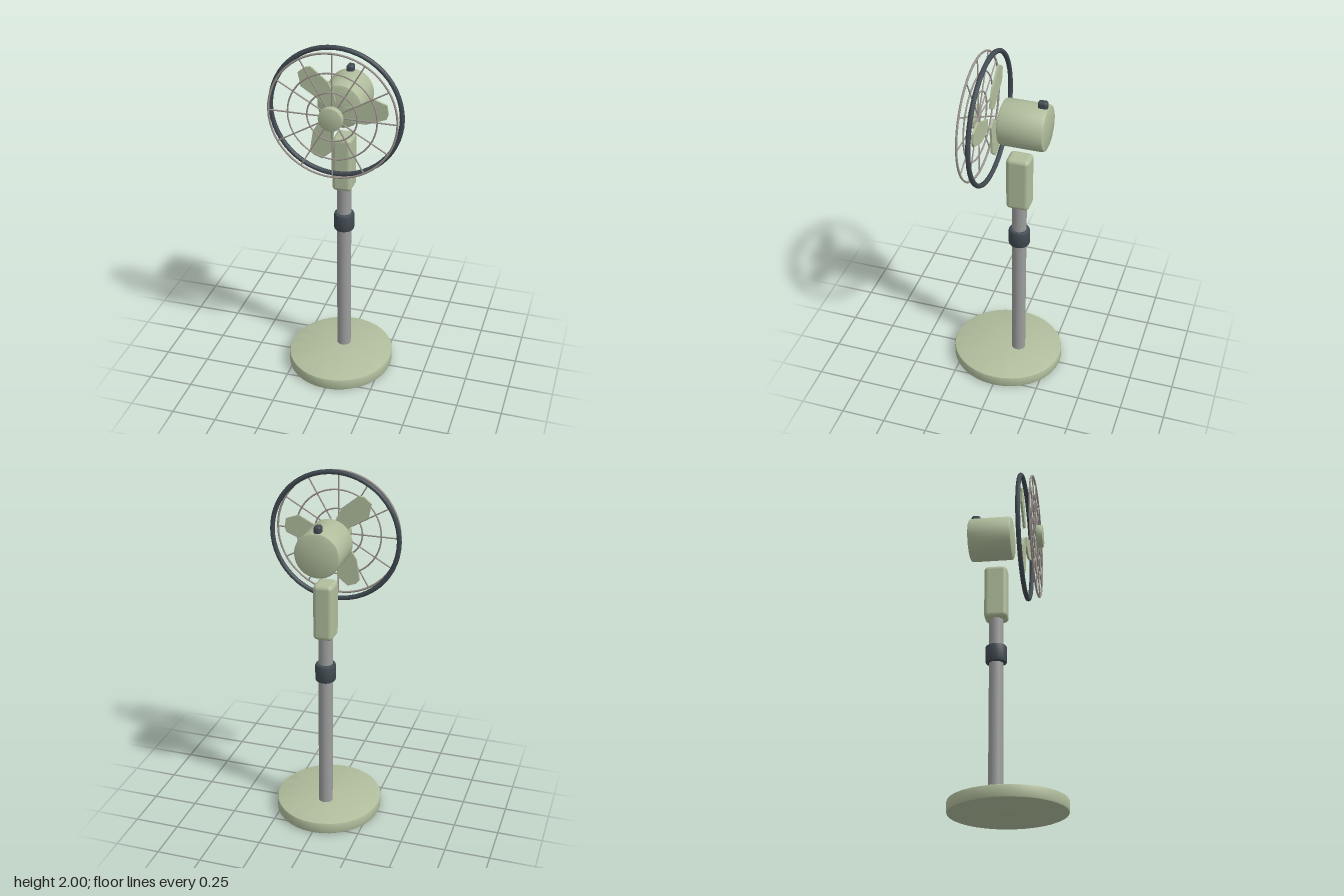
import * as THREE from 'three';
import { toCreasedNormals } from 'three/addons/utils/BufferGeometryUtils.js';
import { RoundedBoxGeometry } from 'three/addons/geometries/RoundedBoxGeometry.js';

const mat = (color) => new THREE.MeshStandardMaterial({ color });
const HEAD_Y = 1.63;   // height of the fan axis
const POST_Z = -0.065; // depth of the post axis

export function createModel() {
  const sage = mat(0xb0bd9c), dark = mat(0x414b52), steel = mat(0x9c9e9d), wire = mat(0x9d9590);
  const root = new THREE.Group();

  const add = (parent, name, geometry, material, x = 0, y = 0, z = 0) => {
    const mesh = new THREE.Mesh(geometry, material);
    mesh.name = name;
    mesh.position.set(x, y, z);
    parent.add(mesh);
    return mesh;
  };

  // Closed disc or drum with softened rims, centred on its own axis (y)
  const drum = (r, h, bevel, segments = 32) => {
    const k = bevel * 0.3, t = h / 2;
    const half = [[r - bevel, t], [r - k, t - k], [r, t - bevel]];
    const points = [[0, t], ...half, ...half.map(([a, b]) => [a, -b]).reverse(), [0, -t]];
    const profile = points.reverse().map(([a, b]) => new THREE.Vector2(a, b));
    return toCreasedNormals(new THREE.LatheGeometry(profile, segments), 0.7);
  };

  // Stand: oval base, post, height collar and neck
  add(root, 'base', drum(0.32, 0.07, 0.01, 36), sage, 0, 0.035, 0).scale.x = 0.935;
  add(root, 'post', new THREE.CylinderGeometry(0.04, 0.04, 1.07, 24), steel, 0, 0.595, POST_Z);
  add(root, 'heightCollar', drum(0.06, 0.104, 0.012, 20), dark, 0, 0.9, POST_Z).scale.x = 0.95;
  add(root, 'neck', new RoundedBoxGeometry(0.11, 0.32, 0.13, 3, 0.025), sage, 0, 1.27, POST_Z);

  const head = new THREE.Group();
  head.name = 'fanHead';
  head.position.y = HEAD_Y;
  root.add(head);

  // Motor housing and the knob on its top
  add(head, 'motorHousing', drum(0.125, 0.25, 0.016), sage, 0, 0, -0.095).rotation.x = Math.PI / 2;
  add(head, 'oscillationKnob', new RoundedBoxGeometry(0.04, 0.05, 0.052, 3, 0.014), dark, 0, 0.133, -0.186);

  // Three flat blades, outlined by angle (degrees) and radius
  const outline = [[-30, 0.06], [-24, 0.11], [-16, 0.17], [-1, 0.273], [5, 0.284], [15, 0.284],
    [26, 0.225], [25, 0.13], [30, 0.06]];
  const bladeShape = new THREE.Shape(outline.map(([deg, r]) => {
    const a = THREE.MathUtils.degToRad(deg);
    return new THREE.Vector2(r * Math.cos(a), r * Math.sin(a));
  }));
  const bladeGeometry = new THREE.ExtrudeGeometry(bladeShape, { depth: 0.012, bevelEnabled: false });
  for (let i = 0; i < 3; i++) {
    add(head, 'blade', bladeGeometry, sage, 0, 0, 0.092).rotation.z = i * Math.PI * 2 / 3;
  }

  // Heavy guard rim around the blades
  add(head, 'guardRim', new THREE.TorusGeometry(0.355, 0.0135, 8, 56), dark, 0, 0, 0.098);

  // Front grille: concentric rings, twelve spokes and a centre cap
  const grille = new THREE.Group();
  grille.name = 'frontGrille';
  grille.position.z = 0.162;
  head.add(grille);
  for (const r of [0.135, 0.24, 0.346]) {
    add(grille, 'grilleRing', new THREE.TorusGeometry(r, r > 0.3 ? 0.006 : 0.0045, 6, 56), wire);
  }
  const spokeGeometry = new THREE.CylinderGeometry(0.004, 0.004, 0.346, 6).translate(0, 0.173, 0);
  for (let i = 0; i < 12; i++) {
    add(grille, 'grilleSpoke', spokeGeometry, wire).rotation.z = i * Math.PI / 6;
  }
  add(grille, 'centreCap', drum(0.065, 0.038, 0.005), sage, 0, 0, 0.022).rotation.x = Math.PI / 2;

  return root;
}
